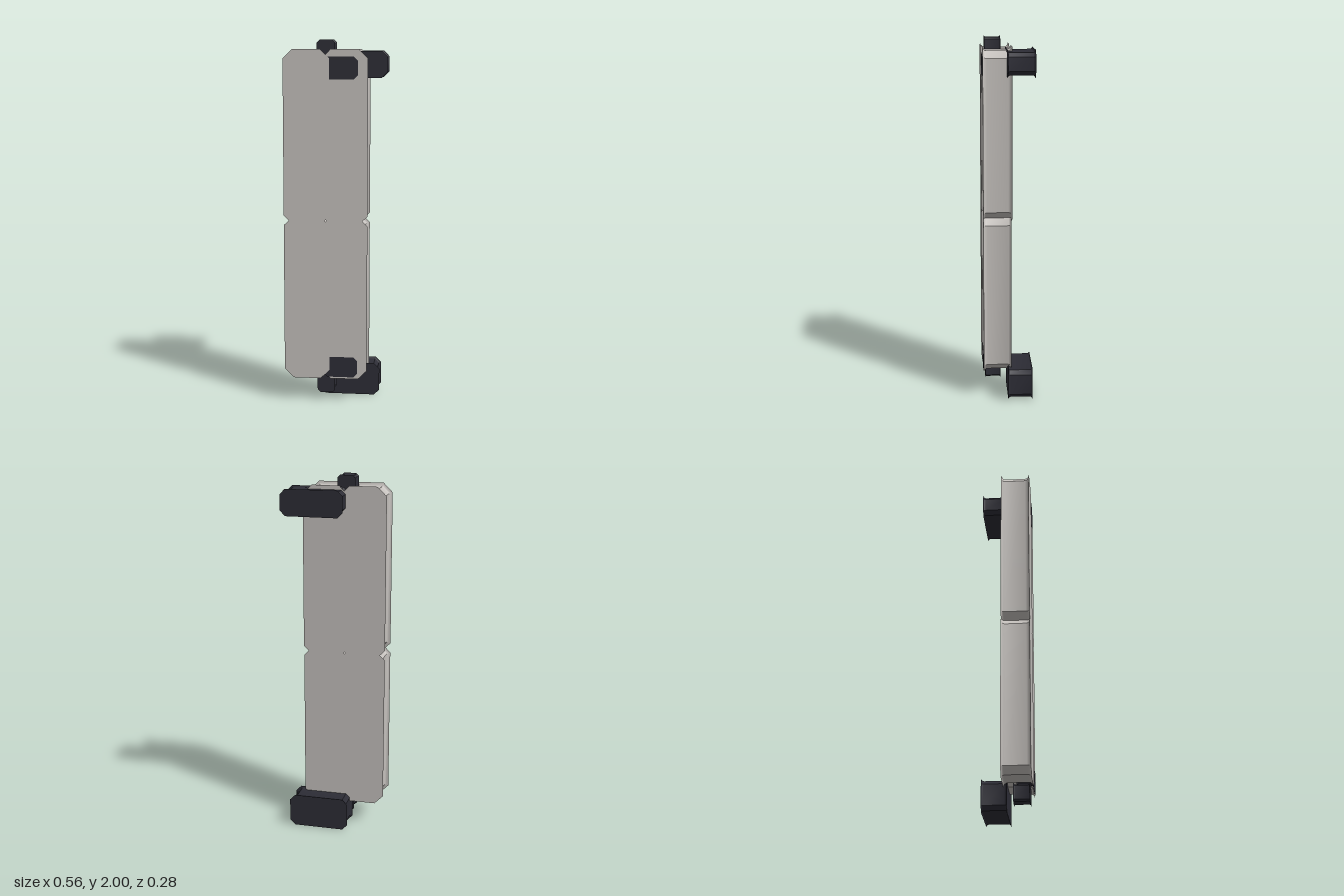
import * as THREE from 'three';
import { toCreasedNormals } from 'three/addons/utils/BufferGeometryUtils.js';

// Chamfered block whose front and back faces flare out past the body by `flare`
function flaredBlock(x0, x1, y0, y1, z0, z1, chamfer, flare) {
  const c = chamfer;
  const shape = new THREE.Shape([
    [x0 + c, y0], [x1 - c, y0], [x1, y0 + c], [x1, y1 - c],
    [x1 - c, y1], [x0 + c, y1], [x0, y1 - c], [x0, y0 + c],
  ].map(([x, y]) => new THREE.Vector2(x, y)));
  const geometry = new THREE.ExtrudeGeometry(shape, {
    depth: z1 - z0 - 2 * flare,
    bevelEnabled: true,
    bevelThickness: flare,
    bevelSize: -flare,
    bevelSegments: 4,
  });
  geometry.translate(0, 0, z0 + flare);
  return toCreasedNormals(geometry, 0.6);
}

export function createModel() {
  const model = new THREE.Group();
  const panelGrey = new THREE.MeshStandardMaterial({ color: 0xc4c0bc });
  panelGrey.name = 'panelGrey';
  const darkTrim = new THREE.MeshStandardMaterial({ color: 0x2d2d36 });
  darkTrim.name = 'darkTrim';

  const add = (name, material, ...dims) => {
    const mesh = new THREE.Mesh(flaredBlock(...dims), material);
    mesh.name = name;
    model.add(mesh);
  };

  // Four door panels, the +x column set very slightly back
  for (const [level, y0, y1] of [['lower', 0.13, 1.045], ['upper', 1.0, 1.95]]) {
    add(level + 'RightPanel', panelGrey, -0.28, -0.028, y0, y1, -0.018, 0.139, 0.05, 0.022);
    const back = level === 'upper' ? -0.024 : -0.019;
    add(level + 'LeftPanel', panelGrey, -0.072, 0.18, y0, y1, back, 0.134, 0.05, 0.022);
  }

  // Dark plates set into the front face
  add('lowerFrontPlate', darkTrim, -0.06, 0.125, 0.14, 0.255, 0.05, 0.1365, 0.02, 0.012);
  add('upperFrontPlate', darkTrim, -0.06, 0.125, 1.79, 1.91, 0.05, 0.1365, 0.02, 0.012);

  // Pivot tabs at the top and bottom
  add('topTab', darkTrim, -0.097, 0.002, 1.9, 2.0, 0.034, 0.122, 0.015, 0.009);
  add('bottomTab', darkTrim, -0.097, 0.002, 0.045, 0.155, 0.034, 0.122, 0.015, 0.009);

  // Large brackets behind the panels
  add('topBracket', darkTrim, -0.07, 0.275, 1.795, 1.94, -0.141, 0.005, 0.03, 0.013);
  add('bottomBracket', darkTrim, -0.097, 0.24, 0, 0.185, -0.134, 0.0, 0.03, 0.013);

  return model;
}
